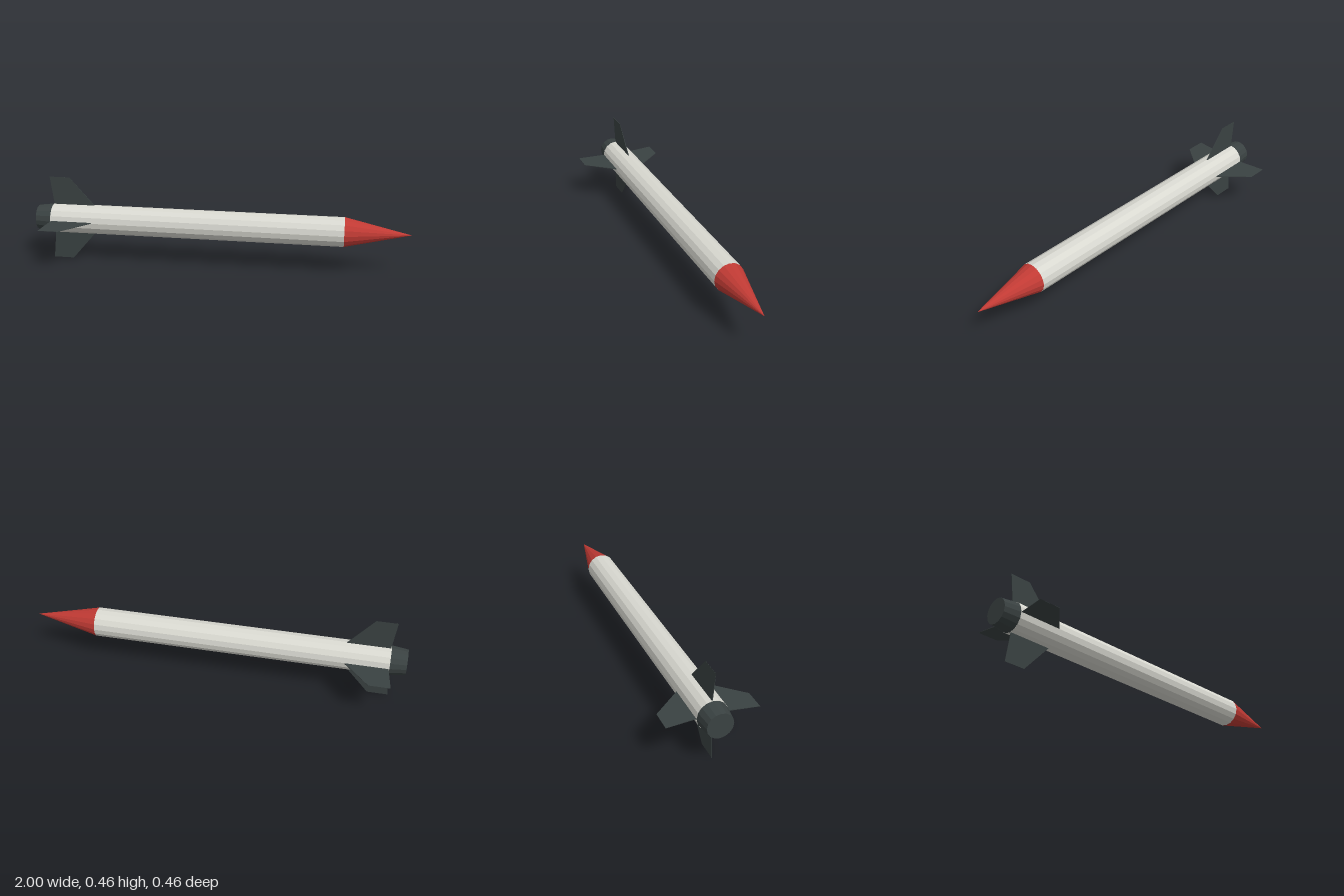
import * as THREE from 'three';

const AXIS_Y = 0.23, RADIUS = 0.078, SIDES = 16;

function material(name, color) {
  const m = new THREE.MeshStandardMaterial({ color, flatShading: true });
  m.name = name;
  return m;
}

// Round section lying along x, from the tail end to the front end
function section(name, x0, x1, r0, r1, mat) {
  const geo = new THREE.CylinderGeometry(r1, r0, x1 - x0, SIDES);
  geo.rotateZ(-Math.PI / 2);
  const mesh = new THREE.Mesh(geo, mat);
  mesh.position.x = (x0 + x1) / 2;
  mesh.name = name;
  return mesh;
}

// Swept fin, thick at the root and thinning towards the tip
function finGeometry() {
  const shape = new THREE.Shape([
    [-0.91, 0.068], [-0.68, 0.068], [-0.82, 0.23], [-0.93, 0.23],
  ].map(([x, y]) => new THREE.Vector2(x, y)));
  const depth = 0.005;
  const geo = new THREE.ExtrudeGeometry(shape, { depth, bevelEnabled: false });
  geo.translate(0, 0, -depth);
  const p = geo.attributes.position;
  for (let i = 0; i < p.count; i++) {
    const t = (p.getY(i) - 0.068) / 0.162;
    p.setZ(i, p.getZ(i) * (1 - 0.85 * t));
  }
  geo.computeVertexNormals();
  return geo;
}

export function createModel() {
  const white = material('body off-white', 0xd8d8d0);
  const red = material('nose red', 0xc03a34);
  const dark = material('dark grey', 0x3a4242);

  const rocket = new THREE.Group();
  rocket.name = 'rocket';
  rocket.position.y = AXIS_Y;

  rocket.add(
    section('nozzle', -1, -0.915, 0.066, 0.077, dark),
    section('body', -0.915, 0.655, RADIUS, RADIUS, white),
    section('noseCone', 0.655, 1, RADIUS, 0, red),
  );

  // Four fins around the tail
  const geo = finGeometry();
  ['topFin', 'frontFin', 'bottomFin', 'backFin'].forEach((name, i) => {
    const fin = new THREE.Mesh(geo, dark);
    fin.name = name;
    fin.rotation.x = i * Math.PI / 2;
    rocket.add(fin);
  });

  const model = new THREE.Group();
  model.name = 'model';
  model.add(rocket);
  return model;
}
